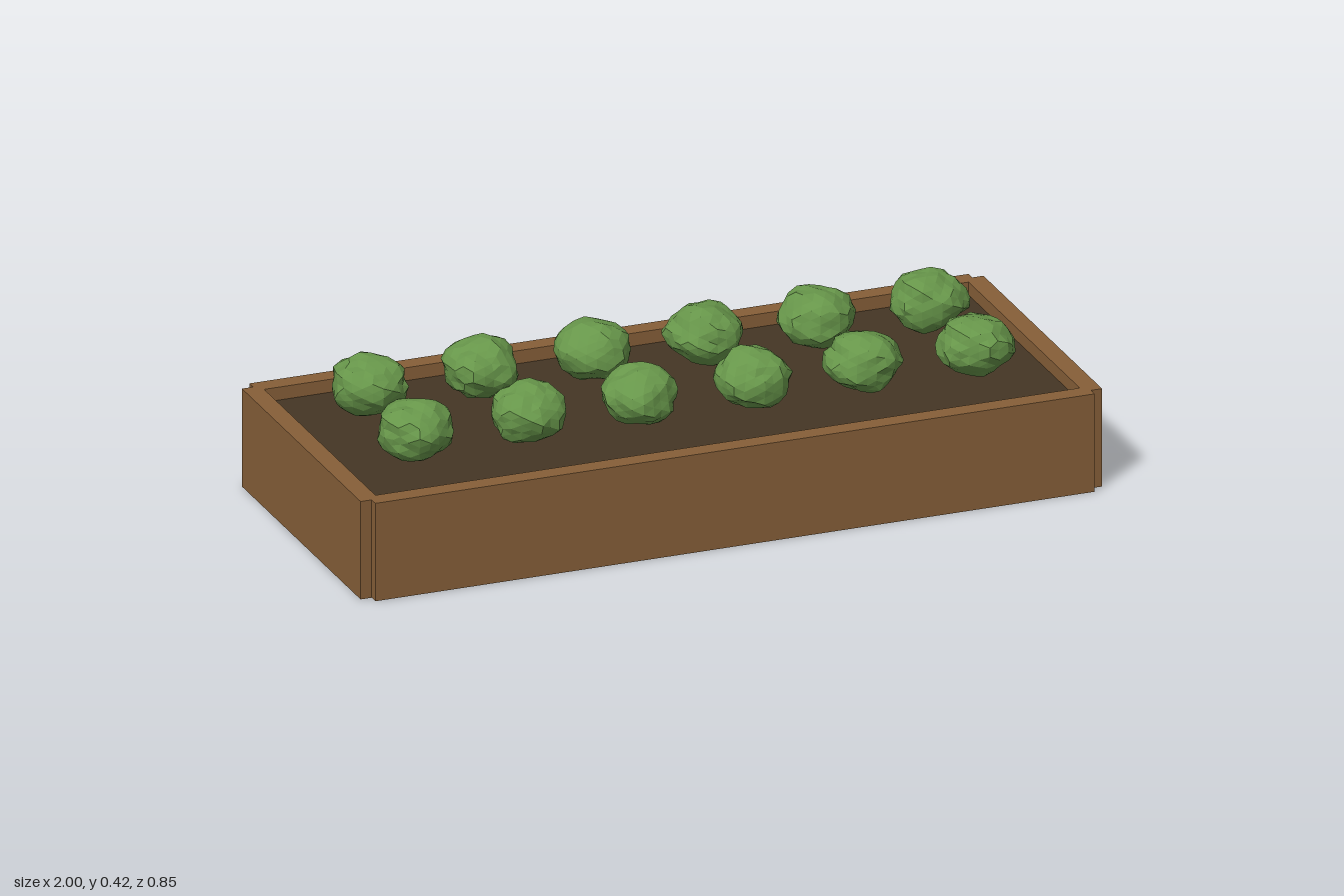
import * as THREE from 'three';

const wood = new THREE.MeshStandardMaterial({ name: 'wood', color: 0x865f38 });
const earth = new THREE.MeshStandardMaterial({ name: 'earth', color: 0x453624 });
const leaf = new THREE.MeshStandardMaterial({ name: 'leaf green', color: 0x67964a, flatShading: true });

// Repeatable value in 0..1 for a point and a seed
function hash(x, y, z, seed) {
  const s = Math.sin(Math.round(x * 500) * 12.9898 + Math.round(y * 500) * 78.233
    + Math.round(z * 500) * 37.719 + seed * 11.13) * 43758.5453;
  return s - Math.floor(s);
}

function addBox(group, name, material, size, position) {
  const mesh = new THREE.Mesh(new THREE.BoxGeometry(...size), material);
  mesh.name = name;
  mesh.position.set(...position);
  group.add(mesh);
}

// Crumpled, slightly squashed ball of leaves
function cabbageGeometry(seed) {
  const geometry = new THREE.IcosahedronGeometry(1, 3);
  const p = geometry.attributes.position;
  const v = new THREE.Vector3();
  for (let i = 0; i < p.count; i++) {
    v.fromBufferAttribute(p, i).normalize();
    const lumps = 0.05 * Math.sin(4 * v.x + seed * 2.1) * Math.cos(4 * v.z + seed * 1.3)
      + 0.04 * Math.sin(5 * v.y + 3 * v.x + seed);
    const r = 0.097 * (1 + lumps + 0.11 * (hash(v.x, v.y, v.z, seed) - 0.5));
    p.setXYZ(i, v.x * r, v.y * r * 0.79, v.z * r);
  }
  geometry.computeVertexNormals();
  return geometry;
}

export function createModel() {
  const model = new THREE.Group();
  model.name = 'planterBed';

  // Boards, with the long ones stepped out past the ends
  const h = 0.265;
  for (const s of [1, -1]) {
    addBox(model, s > 0 ? 'frontBoard' : 'backBoard', wood, [1.94, h, 0.05], [0, h / 2, s * 0.4]);
    addBox(model, s > 0 ? 'leftBoard' : 'rightBoard', wood, [0.05, h, 0.8], [s * 0.975, h / 2, 0]);
  }

  // Soil fill
  addBox(model, 'soil', earth, [1.9, 0.23, 0.75], [0, 0.115, 0]);

  // Two rows of six cabbages
  for (let row = 0; row < 2; row++) {
    for (let i = 0; i < 6; i++) {
      const cabbage = new THREE.Mesh(cabbageGeometry(row * 6 + i + 1), leaf);
      cabbage.name = 'cabbage';
      cabbage.position.set((i - 2.5) * 0.302, 0.333, row ? 0.158 : -0.158);
      model.add(cabbage);
    }
  }
  return model;
}
